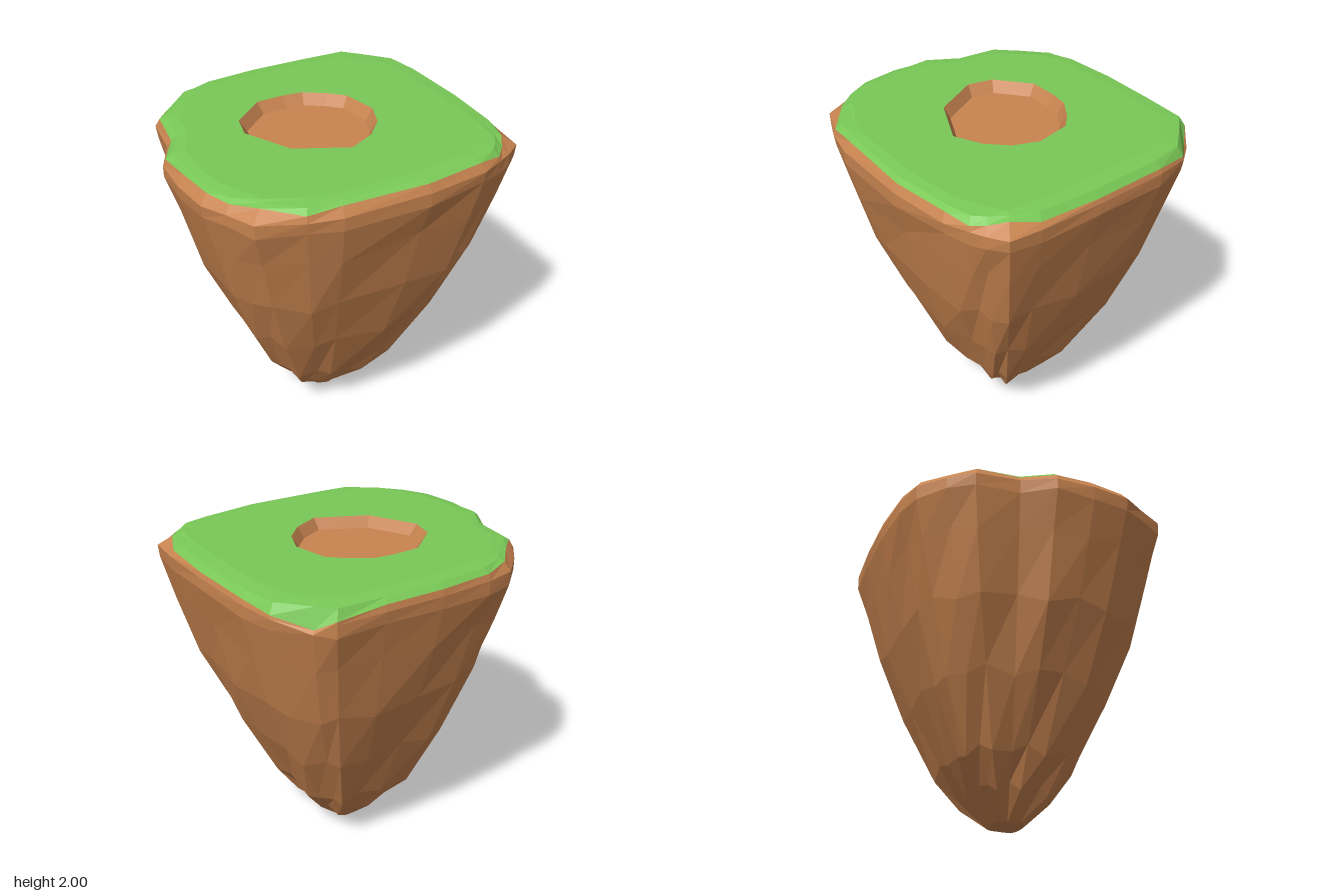
import * as THREE from 'three';

// Rim outline seen from above: x, z, grass edge scale, grass edge height
const RIM = [
  [-0.35, -0.9, 0.985, 1.96], [0, -0.915, 0.99, 1.96], [0.38, -0.9, 0.99, 1.96], [0.68, -0.87, 1, 1.93],
  [0.78, -0.79, 0.985, 1.87], [0.93, -0.6, 0.995, 1.93], [0.97, -0.38, 0.99, 1.95], [0.98, 0.1, 0.99, 1.95],
  [0.97, 0.5, 0.975, 1.95], [0.95, 0.7, 0.92, 1.98], [0.84, 0.77, 0.96, 1.96], [0.75, 0.81, 0.99, 1.95],
  [0.6, 0.87, 0.965, 1.97], [0.2, 0.91, 0.97, 1.97], [-0.35, 0.89, 0.955, 1.975], [-0.55, 0.84, 0.985, 1.96],
  [-0.8, 0.72, 0.92, 1.98], [-0.88, 0.55, 0.965, 1.97], [-0.96, 0.4, 0.95, 1.98], [-0.985, 0.15, 0.955, 1.98],
  [-0.97, -0.1, 0.98, 1.96], [-0.86, -0.3, 0.97, 1.96], [-0.82, -0.58, 0.97, 1.97], [-0.7, -0.72, 0.945, 1.98],
  [-0.54, -0.86, 0.96, 1.975],
];

// Side profile: height, scale of the rim outline
const PROFILE = [[0, 0.115], [0.17, 0.285], [0.36, 0.43], [0.78, 0.64], [1.2, 0.81], [1.6, 0.925], [1.84, 0.995], [1.92, 1]];

// Irregular hollow in the grass: x, z
const HOLE = [
  [-0.2, -0.42], [-0.02, -0.42], [0.11, -0.4], [0.24, -0.31], [0.33, -0.22], [0.375, 0.01],
  [0.31, 0.17], [0.19, 0.29], [0.015, 0.37], [-0.3, 0.21], [-0.45, -0.09], [-0.41, -0.25],
];

const ringFrom = (points, scale, y, dx = 0, dz = 0) =>
  points.map(([x, z]) => new THREE.Vector3(x * scale + dx, y, z * scale + dz));

// Joins closed rings into a faceted skin
function loft(rings) {
  const points = [];
  for (let r = 0; r < rings.length - 1; r++) {
    const low = rings[r], high = rings[r + 1];
    low.forEach((a, i) => {
      const j = (i + 1) % low.length;
      points.push(low[j], a, high[i], low[j], high[i], high[j]);
    });
  }
  const geometry = new THREE.BufferGeometry().setFromPoints(points);
  geometry.computeVertexNormals();
  return geometry;
}

// Flat face filling a ring, facing up or down, with an optional hole
function cap(ring, up = true, hole = null) {
  const sign = up ? -1 : 1;
  const flat = (points) => points.map((p) => new THREE.Vector2(p.x, sign * p.z));
  const shape = new THREE.Shape(flat(ring));
  if (hole) shape.holes.push(new THREE.Path(flat(hole)));
  return new THREE.ShapeGeometry(shape).rotateX(sign * Math.PI / 2).translate(0, ring[0].y, 0);
}

export function createModel() {
  const group = new THREE.Group();
  const earth = new THREE.MeshStandardMaterial({ color: 0xc88450, flatShading: true });
  const grass = new THREE.MeshStandardMaterial({ color: 0x7ac957, flatShading: true });
  const add = (name, geometry, material) => {
    const mesh = new THREE.Mesh(geometry, material);
    mesh.name = name;
    group.add(mesh);
  };

  // Tapering earth body, slightly uneven so the facets read as hewn rock
  const grassEdge = RIM.map(([x, z, s, y]) => new THREE.Vector3(x * s, y, z * s));
  const body = PROFILE.map(([y, s], r) => {
    const ring = ringFrom(RIM, s, y, 0.03 * (1 - y / 2));
    if (r > 0 && r < PROFILE.length - 1) {
      ring.forEach((p, i) => {
        p.y += 0.035 * Math.sin(i * 2.4 + r * 1.7) * Math.min(1, (2 - y) * 2);
        p.x *= 1 + 0.006 * Math.sin(i * 1.9 + r * 2.3);
        p.z *= 1 + 0.006 * Math.sin(i * 1.9 + r * 2.3);
      });
    }
    return ring;
  });
  // Keep the last earth ring below the drooping grass
  body.at(-1).forEach((p, i) => { p.y = Math.min(p.y, grassEdge[i].y - 0.02); });
  add('earthBody', loft([...body, grassEdge]), earth);
  add('earthTip', cap(body[0], false), earth);

  // Grass cap with a bevelled lip and a hollow
  const lip = ringFrom(RIM, 0.945, 1.99);
  RIM.forEach(([x, z, s], i) => lip[i].set(x * (s - 0.035), 1.99, z * (s - 0.035)));
  const top = ringFrom(RIM, 0.86, 2);
  const holeRim = ringFrom(HOLE, 1, 2);
  add('grassLip', loft([grassEdge, lip, top]), grass);
  add('grassTop', cap(top, true, holeRim), grass);

  // Shallow hollow with sloping earth walls
  const holeFloor = ringFrom(HOLE, 0.89, 1.93, -0.003, -0.003);
  add('hollowWall', loft([holeRim, holeFloor]), earth);
  add('hollowFloor', cap(holeFloor), earth);

  return group;
}
